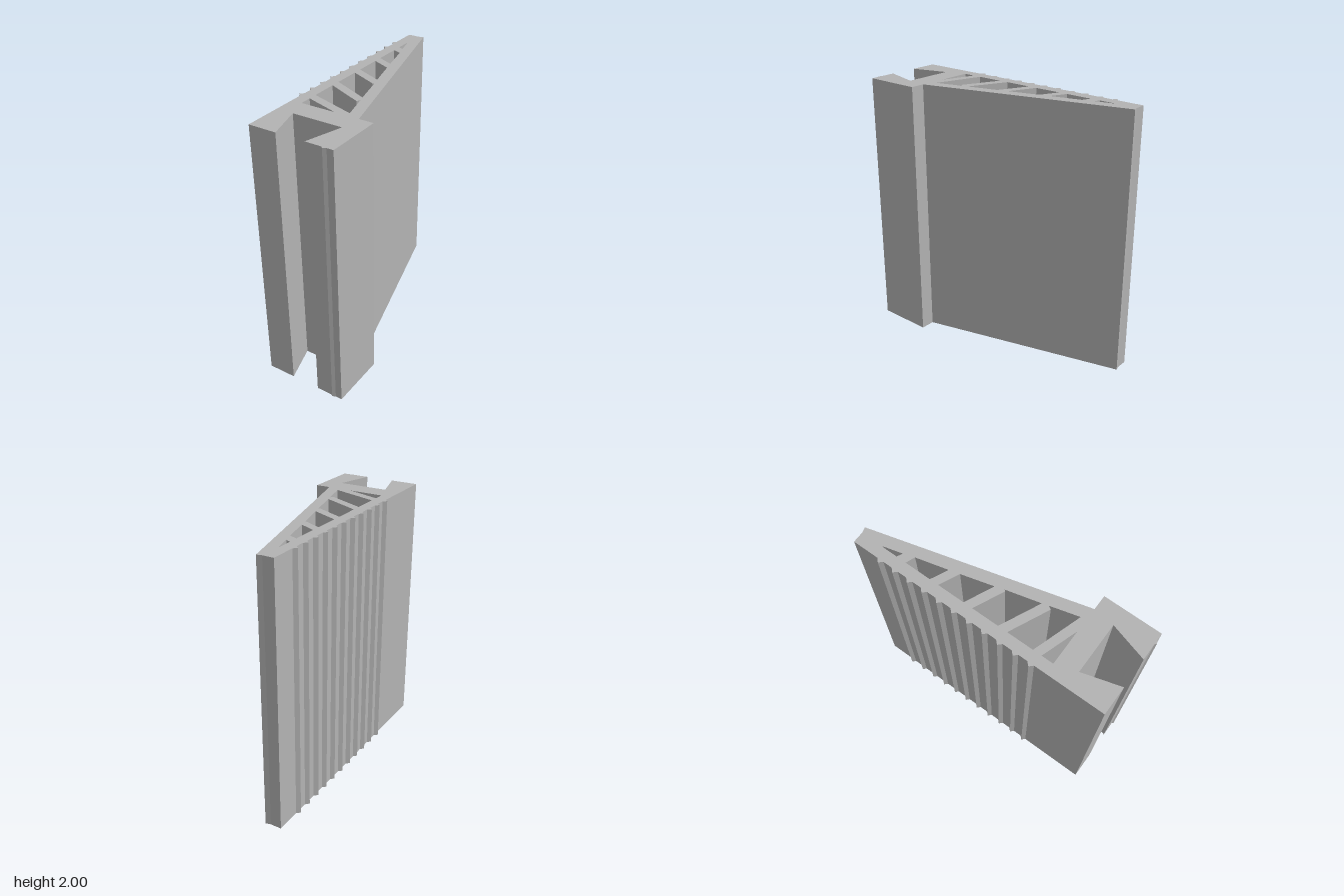
import * as THREE from 'three';

const grey = new THREE.MeshStandardMaterial({ color: 0xb3b3b3 });
grey.name = 'plain grey';

// Plan points are [x, z]; the shape's y axis is -z.
const toPoints = (plan) => plan.map(([x, z]) => new THREE.Vector2(x, -z));

export function createModel() {
  // Wedge with a dovetail-slotted foot
  const outline = [
    [-0.31, 0.975], [-0.1, 0.975], [-0.18, 0.7], [0.2, 0.7], [0.12, 0.975],
    [0.243, 0.975], [0.255, 0.986], [0.28, 0.975], [0.33, 0.975],
    [0.33, 0.545], [0.22, 0.545], [-0.187, -0.99], [-0.225, -0.98], [-0.31, -0.98],
  ];

  // Grip ridges along the straight side
  for (let i = 0; i < 11; i++) {
    const z = -0.76 + i * 0.119;
    outline.push([-0.31, z - 0.025], [-0.335, z], [-0.31, z + 0.025]);
  }

  // Openings between the slanted ribs
  const openings = [
    [[-0.23, -0.81], [-0.225, -0.805], [-0.19, -0.67], [-0.23, -0.69]],
    [[-0.23, -0.615], [-0.165, -0.59], [-0.107, -0.36], [-0.23, -0.418]],
    [[-0.23, -0.35], [-0.087, -0.284], [-0.026, -0.055], [-0.23, -0.148]],
    [[-0.23, -0.08], [-0.015, 0.02], [-0.006, 0.01], [0.056, 0.255], [-0.23, 0.122]],
    [[-0.23, 0.193], [0.055, 0.325], [0.069, 0.3], [0.124, 0.505], [-0.23, 0.39]],
    [[-0.23, 0.455], [0.035, 0.543], [-0.23, 0.543]],
  ];

  const shape = new THREE.Shape(toPoints(outline));
  for (const opening of openings) shape.holes.push(new THREE.Path(toPoints(opening)));

  // Extrude the plan upwards
  const geometry = new THREE.ExtrudeGeometry(shape, { depth: 2, bevelEnabled: false });
  geometry.rotateX(-Math.PI / 2);

  const profile = new THREE.Mesh(geometry, grey);
  profile.name = 'ribbedWedgeProfile';
  const group = new THREE.Group();
  group.name = 'extrudedWedge';
  group.add(profile);
  return group;
}
